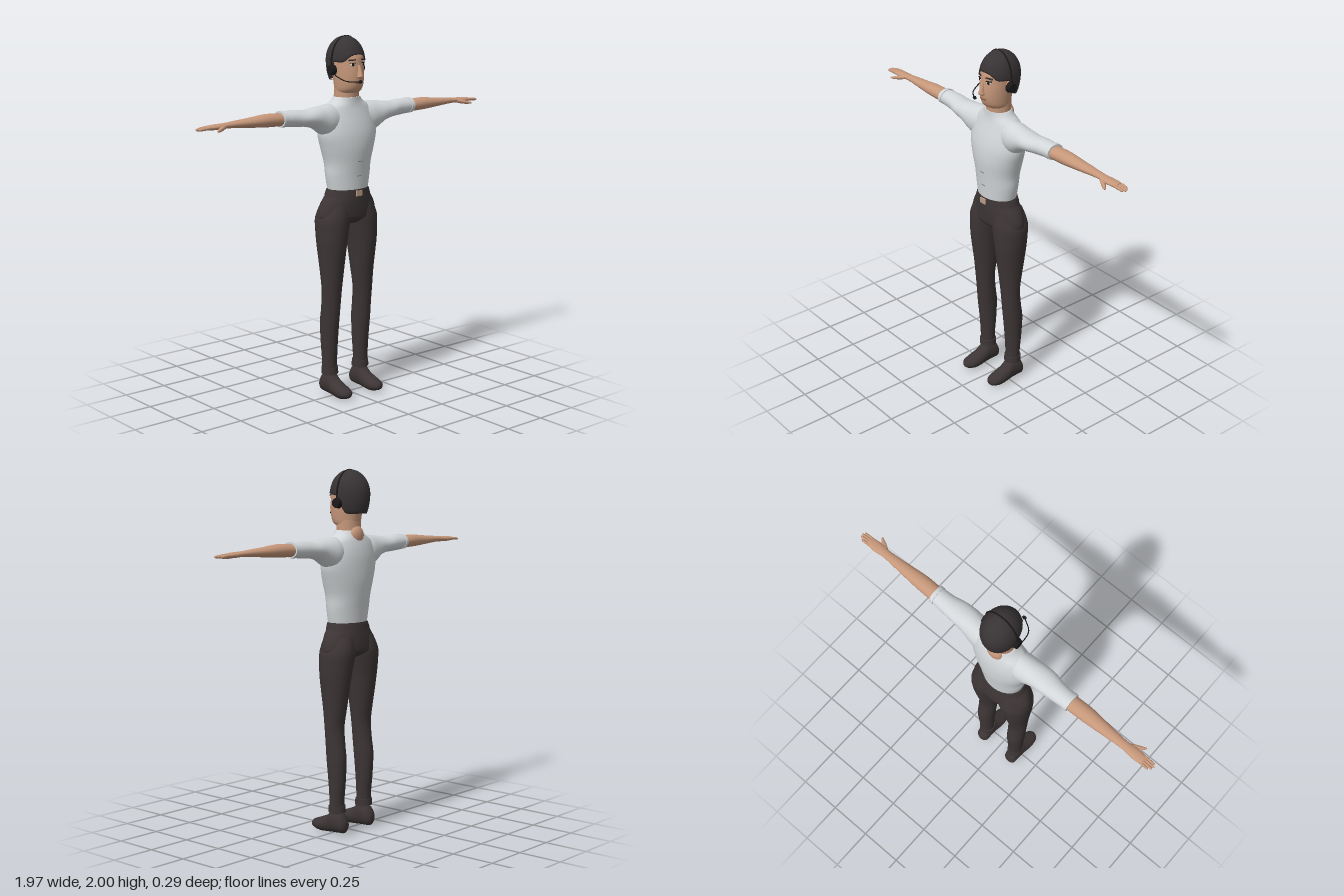
import * as THREE from 'three';

const mat = (name, color) => {
  const m = new THREE.MeshStandardMaterial({ color });
  m.name = name;
  return m;
};

// Smooth value between p1 and p2
const spline = (p0, p1, p2, p3, t) => {
  const a = (p2 - p0) / 2, b = (p3 - p1) / 2;
  return (2 * p1 - 2 * p2 + a + b) * t ** 3 + (-3 * p1 + 3 * p2 - 2 * a - b) * t * t + a * t + p1;
};

// Closed skin through oval sections [t, uMin, uMax, vMin, vMax] along an axis.
// Axis y: u = z, v = x. Axis x: u = y, v = z. Axis z: u = x, v = y.
function loft(axis, sections, { side = 1, sides = 28, steps = 4 } = {}) {
  const rows = [];
  const at = (i) => sections[Math.min(Math.max(i, 0), sections.length - 1)];
  for (let i = 0; i < sections.length - 1; i++)
    for (let s = 0; s < steps; s++)
      rows.push(at(i).map((_, k) => spline(at(i - 1)[k], at(i)[k], at(i + 1)[k], at(i + 2)[k], s / steps)));
  rows.push(at(sections.length - 1));

  const pos = [], idx = [];
  const put = (t, u, v) => {
    const p = axis === 'y' ? [v, t, u] : axis === 'x' ? [t, u, v] : [u, v, t];
    pos.push(p[0] * side, p[1], p[2]);
  };
  const ring = ([t, u0, u1, v0, v1]) => {
    const start = pos.length / 3;
    for (let j = 0; j < sides; j++) {
      const a = (j / sides) * Math.PI * 2;
      put(t, (u0 + u1) / 2 + ((u1 - u0) / 2) * Math.cos(a), (v0 + v1) / 2 + ((v1 - v0) / 2) * Math.sin(a));
    }
    return start;
  };
  const tri = (a, b, c) => (side > 0 ? idx.push(a, b, c) : idx.push(a, c, b));
  const starts = rows.map(ring);
  for (let i = 0; i < starts.length - 1; i++)
    for (let j = 0; j < sides; j++) {
      const k = (j + 1) % sides, p = starts[i], q = starts[i + 1];
      tri(p + j, p + k, q + k);
      tri(p + j, q + k, q + j);
    }
  // End caps
  [rows[0], rows[rows.length - 1]].forEach((r, end) => {
    const s = ring(r), c = pos.length / 3;
    put(r[0], (r[1] + r[2]) / 2, (r[3] + r[4]) / 2);
    for (let j = 0; j < sides; j++) {
      const k = (j + 1) % sides;
      end ? tri(c, s + j, s + k) : tri(c, s + k, s + j);
    }
  });
  const g = new THREE.BufferGeometry();
  g.setAttribute('position', new THREE.Float32BufferAttribute(pos, 3));
  g.setIndex(idx);
  g.computeVertexNormals();
  return g;
}

// Cap of hair: high hairline at the brow, low at the nape
function hairGeometry() {
  const g = new THREE.SphereGeometry(1, 40, 20);
  const p = g.attributes.position, uv = g.attributes.uv;
  for (let i = 0; i < p.count; i++) {
    const a = uv.getX(i) * Math.PI * 2, down = Math.min((1 - uv.getY(i)) / 0.95, 1);
    const front = Math.cos(a);
    const edge = 1.765 + 0.1 * THREE.MathUtils.smoothstep(front, -0.4, 0.2)
      + 0.04 * THREE.MathUtils.smoothstep(front, 0.6, 1);
    const y = 2 - (2 - edge) * (1 - Math.cos(down * Math.PI / 2));
    const h = y > 1.87 ? (y - 1.87) / 0.13 : (1.87 - y) / 0.19;
    let r = Math.sqrt(Math.max(0, 1 - h * h));
    if (uv.getY(i) < 0.01) r *= 0.82;   // tuck the rim in against the head
    p.setXYZ(i, 0.098 * r * Math.sin(a), y, -0.027 + 0.117 * r * front);
  }
  g.computeVertexNormals();
  return g;
}

export function createModel() {
  const model = new THREE.Group();
  model.name = 'headsetWorker';
  const skin = mat('skin', 0xc6977a), shirt = mat('shirt', 0xd2d6d8), trousers = mat('trousers', 0x3d3535);
  const hair = mat('hair', 0x383334), black = mat('black', 0x1b1919), white = mat('eyeWhite', 0xd8d4d0);
  const lip = mat('lip', 0x96604e), buckle = mat('buckle', 0xb99c86), crease = mat('crease', 0x8e9294);
  hair.side = THREE.DoubleSide;

  const add = (name, geometry, material, x = 0, y = 0, z = 0) => {
    const m = new THREE.Mesh(geometry, material);
    m.name = name;
    m.position.set(x, y, z);
    model.add(m);
    return m;
  };
  const blob = (name, material, x, y, z, rx, ry, rz, turn = 0) => {
    const m = add(name, new THREE.SphereGeometry(1, 20, 14), material, x, y, z);
    m.scale.set(rx, ry, rz);
    m.rotation.y = turn;
    return m;
  };

  // Shirt body
  add('shirtBody', loft('y', [
    [1.165, -0.1, 0.083, -0.122, 0.122], [1.25, -0.108, 0.088, -0.137, 0.137], [1.32, -0.117, 0.095, -0.143, 0.143],
    [1.4, -0.125, 0.102, -0.166, 0.166], [1.47, -0.125, 0.098, -0.186, 0.186], [1.53, -0.121, 0.085, -0.186, 0.186],
    [1.58, -0.112, 0.07, -0.172, 0.172], [1.62, -0.1, 0.058, -0.15, 0.15], [1.65, -0.09, 0.053, -0.1, 0.1],
    [1.675, -0.083, 0.052, -0.076, 0.076]], { sides: 40 }), shirt);
  for (const y of [1.25, 1.33])
    add('shirtCrease', new THREE.BoxGeometry(0.03, 0.005, 0.004), crease, 0, y, y > 1.3 ? 0.096 : 0.088);

  // Hips, belt and buckle
  add('hips', loft('y', [
    [0.98, -0.06, 0.04, -0.12, 0.12], [1.01, -0.113, 0.076, -0.183, 0.183], [1.05, -0.118, 0.083, -0.188, 0.188],
    [1.1, -0.113, 0.085, -0.167, 0.167], [1.14, -0.106, 0.085, -0.138, 0.138],
    [1.175, -0.102, 0.084, -0.125, 0.125]], { sides: 40 }), trousers);
  add('belt', loft('y', [[1.137, -0.111, 0.089, -0.142, 0.142], [1.17, -0.106, 0.087, -0.129, 0.129]],
    { sides: 40, steps: 1 }), trousers);
  add('beltBuckle', new THREE.BoxGeometry(0.042, 0.03, 0.009), buckle, 0, 1.154, 0.09);

  for (const side of [1, -1]) {
    const pre = side > 0 ? 'left' : 'right', o = { side };
    // Trouser leg, cuff and shoe
    add(pre + 'Leg', loft('y', [
      [0.12, -0.07, 0.01, 0.071, 0.154], [0.2, -0.072, 0.01, 0.07, 0.156], [0.3, -0.082, 0.017, 0.067, 0.16],
      [0.42, -0.087, 0.029, 0.063, 0.165], [0.5, -0.076, 0.035, 0.06, 0.165], [0.6, -0.066, 0.042, 0.055, 0.168],
      [0.7, -0.08, 0.053, 0.045, 0.173], [0.8, -0.097, 0.067, 0.035, 0.181], [0.88, -0.108, 0.076, 0.025, 0.189],
      [0.95, -0.117, 0.08, 0.012, 0.192], [1.02, -0.122, 0.081, 0.0, 0.189], [1.1, -0.105, 0.07, 0.01, 0.15]], o), trousers);
    add(pre + 'TrouserCuff', loft('y', [[0.125, -0.079, 0.017, 0.064, 0.159], [0.162, -0.077, 0.015, 0.065, 0.159]],
      { side, steps: 1 }), trousers);
    add(pre + 'Shoe', loft('z', [
      [-0.097, 0.095, 0.125, 0.035, 0.07], [-0.085, 0.076, 0.145, 0.013, 0.1], [-0.06, 0.071, 0.15, 0.009, 0.13],
      [-0.01, 0.07, 0.152, 0.006, 0.135], [0.03, 0.068, 0.155, 0.003, 0.102], [0.08, 0.067, 0.157, 0.001, 0.08],
      [0.12, 0.076, 0.15, 0.011, 0.065], [0.138, 0.092, 0.134, 0.02, 0.055], [0.145, 0.108, 0.118, 0.032, 0.044]], o), trousers);

    // Sleeve with hem
    add(pre + 'Sleeve', loft('x', [
      [0.08, 1.47, 1.64, -0.085, 0.05], [0.14, 1.465, 1.642, -0.092, 0.06], [0.19, 1.485, 1.637, -0.085, 0.06],
      [0.24, 1.518, 1.632, -0.077, 0.06], [0.3, 1.535, 1.625, -0.074, 0.056], [0.37, 1.54, 1.63, -0.07, 0.04],
      [0.45, 1.547, 1.628, -0.064, 0.034]], o), shirt);
    add(pre + 'SleeveHem', loft('x', [[0.438, 1.544, 1.632, -0.068, 0.038], [0.46, 1.546, 1.631, -0.067, 0.038]],
      { side, steps: 1 }), shirt);
    // Forearm and palm
    add(pre + 'Forearm', loft('x', [
      [0.44, 1.552, 1.62, -0.058, 0.028], [0.55, 1.555, 1.624, -0.056, 0.03], [0.65, 1.562, 1.615, -0.049, 0.022],
      [0.75, 1.57, 1.607, -0.041, 0.013], [0.81, 1.573, 1.602, -0.038, 0.011], [0.86, 1.571, 1.6, -0.043, 0.016],
      [0.9, 1.573, 1.598, -0.043, 0.014], [0.925, 1.577, 1.594, -0.038, 0.009]], o), skin);
    // Four fingers and a thumb
    [0.965, 0.98, 0.985, 0.977].forEach((tip, i) => {
      const z = -0.041 + i * 0.0132;
      add(pre + 'Finger', loft('x', [
        [0.89, 1.577, 1.595, z, z + 0.014], [0.94, 1.576, 1.591, z, z + 0.0135], [tip - 0.008, 1.575, 1.588, z + 0.001, z + 0.0125],
        [tip, 1.579, 1.584, z + 0.005, z + 0.009]], { side, sides: 10 }), skin);
    });
    add(pre + 'Thumb', loft('x', [
      [0.81, 1.575, 1.595, -0.012, 0.008], [0.845, 1.567, 1.59, 0.0, 0.03], [0.875, 1.564, 1.582, 0.022, 0.045],
      [0.893, 1.567, 1.576, 0.042, 0.052]], { side, sides: 12 }), skin);

    // Eye, brow, ear and headset cup
    blob(pre + 'EyeWhite', white, side * 0.036, 1.852, 0.077, 0.015, 0.008, 0.004, side * 0.38);
    blob(pre + 'Pupil', black, side * 0.036, 1.852, 0.08, 0.008, 0.008, 0.003, side * 0.38);
    const lid = add(pre + 'EyeLid', new THREE.BoxGeometry(0.032, 0.004, 0.008), black, side * 0.036, 1.861, 0.077);
    lid.rotation.y = side * 0.38;
    const brow = add(pre + 'Brow', new THREE.BoxGeometry(0.04, 0.007, 0.009), hair, side * 0.038, 1.877, 0.075);
    brow.rotation.set(0, side * 0.4, side * -0.08);
    blob(pre + 'Ear', skin, side * 0.081, 1.825, -0.02, 0.012, 0.032, 0.02);
    const cup = add(pre + 'EarCup', new THREE.CylinderGeometry(0.025, 0.03, 0.026, 24), black, side * 0.101, 1.822, -0.022);
    cup.rotation.z = -side * Math.PI / 2;
  }

  // Neck, nape and head
  add('neck', loft('y', [[1.6, -0.088, 0.04, -0.068, 0.068], [1.68, -0.084, 0.048, -0.069, 0.069],
    [1.76, -0.086, 0.05, -0.068, 0.068]]), skin);
  blob('nape', skin, 0, 1.645, -0.072, 0.05, 0.055, 0.032);
  add('head', loft('y', [
    [1.695, -0.075, 0.045, -0.06, 0.06], [1.715, -0.083, 0.074, -0.07, 0.07], [1.75, -0.09, 0.088, -0.075, 0.075],
    [1.8, -0.1, 0.092, -0.079, 0.079], [1.85, -0.11, 0.087, -0.082, 0.082], [1.9, -0.11, 0.079, -0.082, 0.082],
    [1.95, -0.085, 0.045, -0.06, 0.06]], { sides: 36 }), skin);
  add('nose', loft('y', [[1.778, 0.07, 0.098, -0.01, 0.01], [1.787, 0.07, 0.115, -0.018, 0.018],
    [1.8, 0.07, 0.114, -0.014, 0.014], [1.85, 0.07, 0.094, -0.008, 0.008]], { sides: 16 }), skin);
  blob('mouth', lip, 0, 1.757, 0.087, 0.026, 0.007, 0.007);
  add('hair', hairGeometry(), hair);

  // Headset band, boom and microphone
  const arch = Array.from({ length: 17 }, (_, i) => {
    const a = (i / 16) * Math.PI;
    return new THREE.Vector3(0.103 * Math.cos(a), 1.845 + 0.153 * Math.sin(a) ** 0.9, -0.022);
  });
  add('headsetBand', new THREE.TubeGeometry(new THREE.CatmullRomCurve3(arch), 40, 0.005, 8), black);
  const boom = new THREE.CatmullRomCurve3([[-0.108, 1.815, -0.02], [-0.105, 1.79, 0.03], [-0.085, 1.768, 0.085],
    [-0.025, 1.765, 0.125]].map((p) => new THREE.Vector3(...p)));
  add('microphoneBoom', new THREE.TubeGeometry(boom, 24, 0.003, 8), black);
  blob('microphone', black, -0.022, 1.765, 0.125, 0.012, 0.009, 0.009);

  return model;
}
